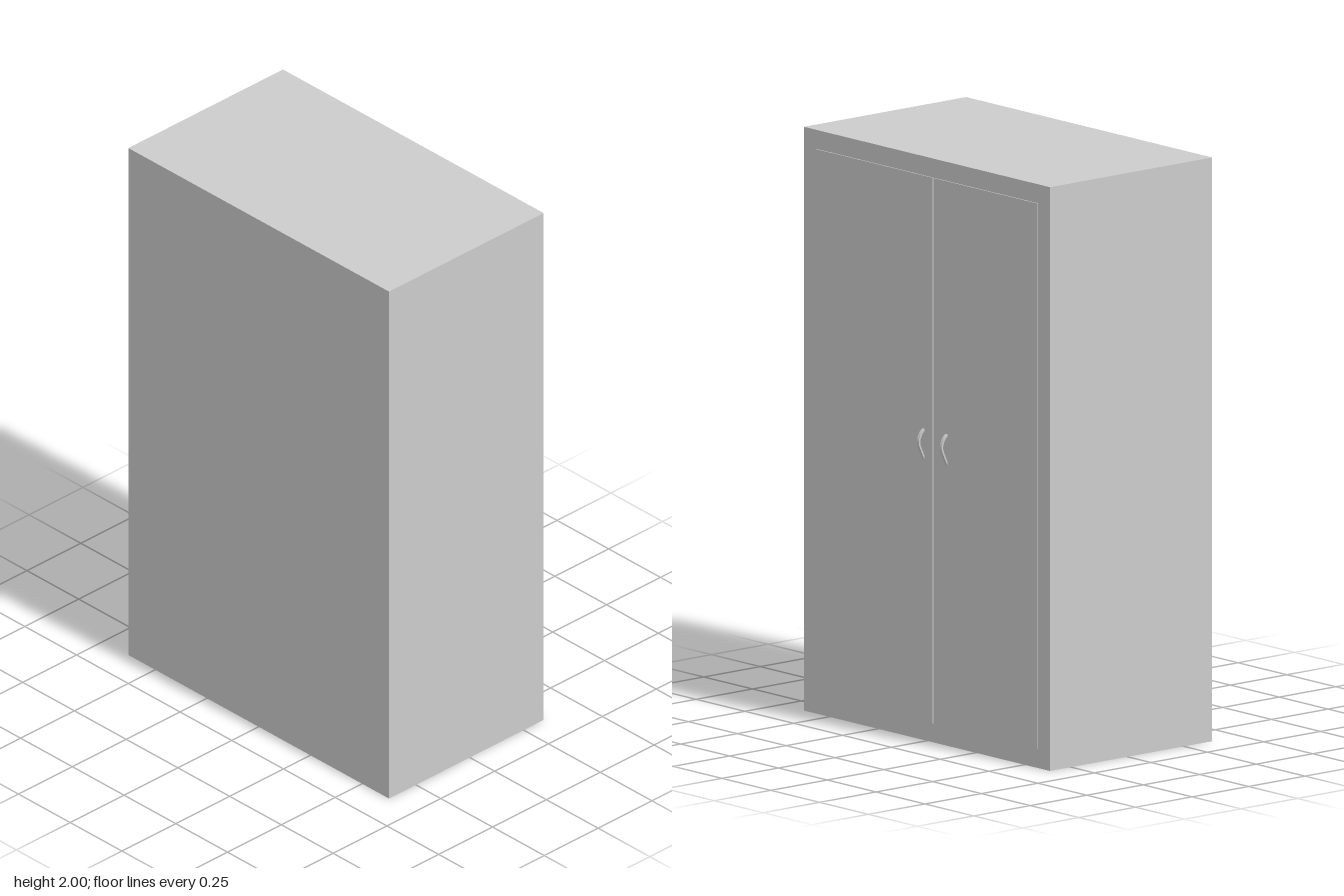
import * as THREE from 'three';

const material = new THREE.MeshStandardMaterial({ color: 0xcccccc });

// Box given by its minimum and maximum corners
function box(name, [x0, y0, z0], [x1, y1, z1]) {
  const mesh = new THREE.Mesh(new THREE.BoxGeometry(x1 - x0, y1 - y0, z1 - z0), material);
  mesh.position.set((x0 + x1) / 2, (y0 + y1) / 2, (z0 + z1) / 2);
  mesh.name = name;
  return mesh;
}

// Bent pull handle: a bowed strip in the x-y plane, extruded along z
function handle(name, z) {
  const shape = new THREE.Shape();
  shape.moveTo(0.345, 0.956);
  shape.lineTo(0.369, 1.007);
  shape.quadraticCurveTo(0.378, 1.026, 0.368, 1.045);
  shape.quadraticCurveTo(0.36, 1.062, 0.345, 1.07);
  shape.lineTo(0.345, 1.062);
  shape.quadraticCurveTo(0.356, 1.056, 0.362, 1.042);
  shape.quadraticCurveTo(0.37, 1.026, 0.363, 1.01);
  shape.lineTo(0.345, 0.97);
  shape.closePath();
  const width = 0.011;
  const geometry = new THREE.ExtrudeGeometry(shape, { depth: width, bevelEnabled: false, curveSegments: 5 });
  const mesh = new THREE.Mesh(geometry, material);
  mesh.position.z = z - width / 2;
  mesh.name = name;
  return mesh;
}

export function createModel() {
  const group = new THREE.Group();
  group.name = 'wardrobe';

  // Plain carcass
  group.add(box('cabinetBody', [-0.375, 0, -0.63], [0.343, 2, 0.63]));

  // Two thin raised doors on the +x side, with a narrow gap between them
  group.add(box('frontwardDoor', [0.342, 0.065, -0.033], [0.347, 1.935, 0.563]));
  group.add(box('rearwardDoor', [0.342, 0.065, -0.57], [0.347, 1.935, -0.043]));

  // A handle on each side of the gap
  group.add(handle('frontwardHandle', 0.012));
  group.add(handle('rearwardHandle', -0.105));

  return group;
}
